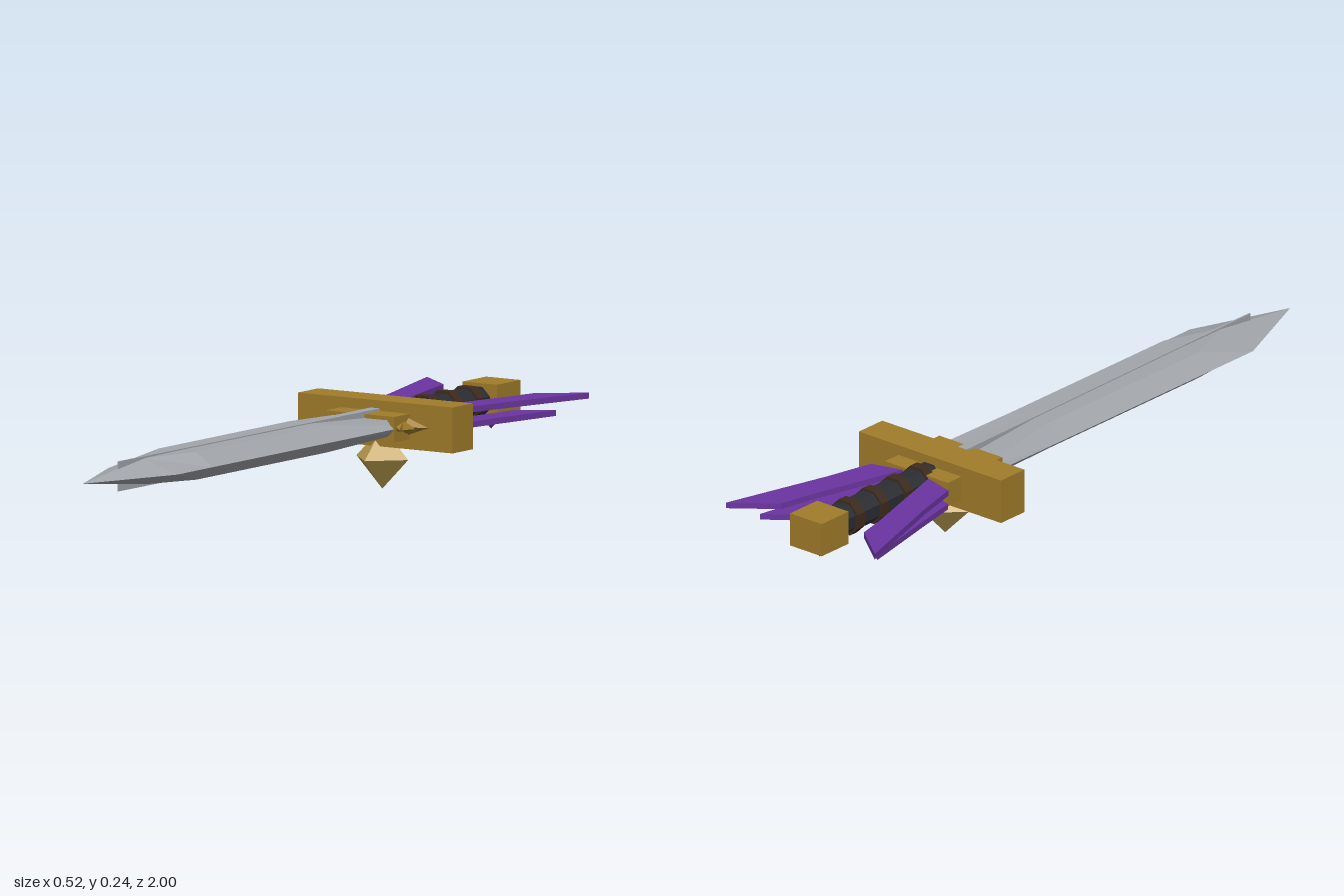
import * as THREE from 'three';

const MID = 0.18; // height of the sword's centre line

export function createModel() {
  const sword = new THREE.Group();
  sword.name = 'sword';

  const mat = (name, color) => {
    const m = new THREE.MeshStandardMaterial({ color, flatShading: true });
    m.name = name;
    return m;
  };
  const steel = mat('steel', 0xa1a5aa);
  const gold = mat('gold', 0xa07c2a);
  const paleGold = mat('pale gold', 0xbb9c50);
  const purple = mat('purple', 0x6a35a0);
  const leather = mat('dark leather', 0x2b2d33);
  const brown = mat('brown binding', 0x3d2b1d);

  const add = (name, geometry, material, x = 0, y = 0, z = 0) => {
    const mesh = new THREE.Mesh(geometry, material);
    mesh.name = name;
    mesh.position.set(x, y, z);
    sword.add(mesh);
    return mesh;
  };

  // Box given by half width, y range and z range
  const box = (name, material, hx, y0, y1, z0, z1) =>
    add(name, new THREE.BoxGeometry(hx * 2, y1 - y0, z1 - z0), material, 0, (y0 + y1) / 2, (z0 + z1) / 2);

  // Joins rings of [x, y] points (counter-clockwise from the front) along z
  const loft = (rings) => {
    const pos = [];
    for (let s = 0; s < rings.length - 1; s++) {
      const n = rings[s].length;
      for (let i = 0; i < n; i++) {
        const j = (i + 1) % n;
        const a = rings[s][i], b = rings[s][j], c = rings[s + 1][j], d = rings[s + 1][i];
        pos.push(...a, ...b, ...c, ...a, ...c, ...d);
      }
    }
    const g = new THREE.BufferGeometry();
    g.setAttribute('position', new THREE.Float32BufferAttribute(pos, 3));
    g.computeVertexNormals();
    return g;
  };

  // Blade: six-sided sections as [z, edge half width, flat half width, half thickness]
  const sections = [
    [-0.38, 0.11, 0.095, 0.018],
    [-0.06, 0.11, 0.06, 0.037],
    [0.55, 0.11, 0.06, 0.037],
    [0.715, 0.11, 0.001, 0.035],
    [0.995, 0, 0, 0],
  ];
  add('blade', loft(sections.map(([z, w, r, h]) => [
    [w, 0, z], [r, h, z], [-r, h, z], [-w, 0, z], [-r, -h, z], [r, -h, z],
  ])), steel, 0, MID);

  // Thin spine that narrows towards the tip
  const spine = [[-0.38, 0.015], [-0.06, 0.012], [0.83, 0.002], [0.8301, 0]].map(([z, w]) => {
    const h = w ? 0.04 : 0;
    return [[w, -h, z], [w, h, z], [-w, h, z], [-w, -h, z]];
  });
  add('bladeSpine', loft(spine), steel, 0, MID);

  // Cross guard with collars on both sides
  box('guard', gold, 0.248, 0.118, 0.241, -0.472, -0.377);
  box('frontCollar', gold, 0.11, 0.145, 0.213, -0.38, -0.305);
  box('backCollar', gold, 0.11, 0.145, 0.213, -0.527, -0.47);

  // Claws round the front collar: base x, z, tip x, z, radius
  const claws = [
    [0.08, -0.37, 0.173, -0.373, 0.033],
    [0.08, -0.365, 0.155, -0.335, 0.03],
    [0.085, -0.36, 0.132, -0.297, 0.026],
    [0.05, -0.33, 0.045, -0.285, 0.02],
    [0.025, -0.33, 0.03, -0.27, 0.016],
  ];
  for (const side of [-1, 1]) {
    for (const [x, z, tx, tz, r] of claws) {
      const dir = new THREE.Vector3(side * (tx - x), 0, tz - z);
      const length = dir.length();
      const claw = add('claw', new THREE.ConeGeometry(r, length, 4).translate(0, length / 2, 0), gold, side * x, MID, z);
      claw.quaternion.setFromUnitVectors(new THREE.Vector3(0, 1, 0), dir.normalize());
    }
  }

  // Gem-shaped pendant under the guard
  add('guardGem', new THREE.OctahedronGeometry(0.083), paleGold, 0, 0.083, -0.41);

  // Grip with bindings
  const rod = (r, length) => new THREE.CylinderGeometry(r, r, length, 8).rotateX(Math.PI / 2).rotateZ(Math.PI / 8);
  add('grip', rod(0.044, 0.38), leather, 0, MID, -0.665);
  for (const z of [-0.515, -0.61, -0.708, -0.806]) add('gripBinding', rod(0.051, 0.03), brown, 0, MID, z);

  // Pommel with a small gem below
  box('pommel', gold, 0.055, 0.135, 0.228, -0.977, -0.867);
  add('pommelGem', new THREE.OctahedronGeometry(0.036), purple, 0, 0.136, -0.92);

  // Two feathers on each side, outlined as [x, z]
  const upper = [[0.045, -0.53], [0.135, -0.555], [0.168, -0.69], [0.26, -1], [0.145, -0.91], [0.125, -0.82]];
  const lower = [[0.045, -0.525], [0.13, -0.55], [0.155, -0.68], [0.205, -0.925], [0.112, -0.855], [0.1, -0.78]];
  for (const side of [-1, 1]) {
    for (const [name, outline, y] of [['upperFeather', upper, 0.192], ['lowerFeather', lower, 0.15]]) {
      const shape = new THREE.Shape(outline.map(([x, z]) => new THREE.Vector2(side * x, -z)));
      const g = new THREE.ExtrudeGeometry(shape, { depth: 0.016, bevelEnabled: false }).rotateX(-Math.PI / 2);
      add(name, g, purple, 0, y, 0);
    }
  }

  return sword;
}
